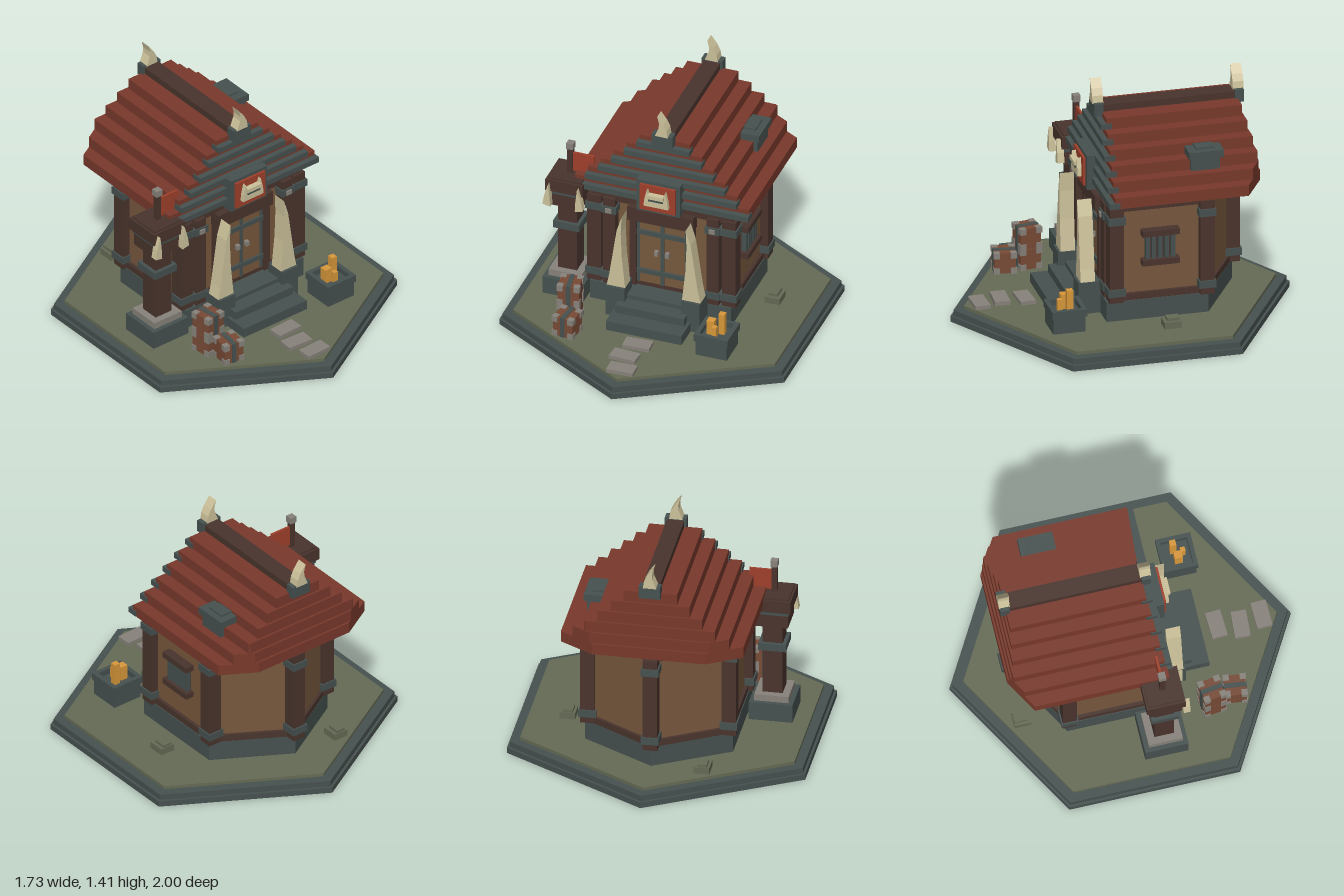
import * as THREE from 'three';

const colour = (name, color) => Object.assign(new THREE.MeshStandardMaterial({ color }), { name });
const slate = colour('slate', 0x46514f);
const moss = colour('moss', 0x656b55);
const roofRed = colour('roof red', 0x79392b);
const banner = colour('banner red', 0xa0402b);
const wood = colour('dark wood', 0x4a342d);
const plank = colour('plank', 0x77583d);
const bone = colour('bone', 0xcdc29b);
const stone = colour('grey stone', 0x87827a);
const gold = colour('gold', 0xd8983a);
const crateWood = colour('crate wood', 0x784b36);

function add(parent, name, geometry, material) {
  const mesh = new THREE.Mesh(geometry, material);
  mesh.name = name;
  parent.add(mesh);
  return mesh;
}

// Box given by its limits on each axis
function box(parent, name, material, x0, x1, y0, y1, z0, z1) {
  const g = new THREE.BoxGeometry(x1 - x0, y1 - y0, z1 - z0);
  g.translate((x0 + x1) / 2, (y0 + y1) / 2, (z0 + z1) / 2);
  return add(parent, name, g, material);
}

const shapeOf = (pts) => new THREE.Shape(pts.map(([x, y]) => new THREE.Vector2(x, y)));

// Upright prism over a plan of [x, z] points
function prism(parent, name, material, plan, y0, y1) {
  const g = new THREE.ExtrudeGeometry(shapeOf(plan.map(([x, z]) => [x, -z])), { depth: y1 - y0, bevelEnabled: false });
  g.rotateX(-Math.PI / 2).translate(0, y0, 0);
  return add(parent, name, g, material);
}

// Flat outline in [x, y] given a thickness along z
function slab(parent, name, material, pts, z0, z1) {
  const g = new THREE.ExtrudeGeometry(shapeOf(pts), { depth: z1 - z0, bevelEnabled: false });
  g.translate(0, 0, z0);
  return add(parent, name, g, material);
}

function group(parent, name, x = 0, y = 0, z = 0, turn = 0) {
  const g = new THREE.Group();
  g.name = name;
  g.position.set(x, y, z);
  g.rotation.y = turn;
  parent.add(g);
  return g;
}

function hexTier(parent, name, material, r, y0, y1) {
  const g = new THREE.CylinderGeometry(r, r, y1 - y0, 6).toNonIndexed();
  g.computeVertexNormals();
  g.translate(0, (y0 + y1) / 2, 0);
  add(parent, name, g, material);
}

// House plan: flat front, two sides, pointed back
const plan = (w, front, corner, back) => [[-w, front], [w, front], [w, corner], [0, back], [-w, corner]];

function buildHouse(root) {
  const house = group(root, 'house');
  prism(house, 'foundation', slate, plan(0.43, 0.19, -0.41, -0.66), 0.085, 0.21);
  prism(house, 'sill', wood, plan(0.425, 0.155, -0.41, -0.66), 0.21, 0.25);
  prism(house, 'walls', plank, plan(0.405, 0.13, -0.4, -0.64), 0.25, 0.77);
  prism(house, 'topBeam', wood, plan(0.43, 0.16, -0.41, -0.665), 0.765, 0.835);

  // Posts with two metal bands each
  const posts = [[0, -0.655, 0.042], ...[-1, 1].flatMap((s) => [
    [s * 0.41, 0.135, 0.042], [s * 0.315, 0.15, 0.036], [s * 0.41, -0.4, 0.042]])];
  for (const [x, z, h] of posts) {
    const post = group(house, 'post', x, 0, z);
    box(post, 'postShaft', wood, -h, h, 0.21, 0.79, -h, h);
    const b = h + 0.009;
    for (const y of [0.25, 0.695]) box(post, 'postBand', slate, -b, b, y, y + 0.045, -b, b);
  }
  for (const s of [-1, 1]) box(house, 'bandStud', stone, s * 0.315 - 0.018, s * 0.315 + 0.018, 0.703, 0.731, 0.19, 0.205);

  // Double door
  const door = group(house, 'door');
  for (const s of [-1, 1]) {
    box(door, 'doorLeaf', plank, Math.min(s * 0.008, s * 0.155), Math.max(s * 0.008, s * 0.155), 0.25, 0.69, 0.12, 0.155);
    box(door, 'doorJamb', wood, s * 0.175 - 0.02, s * 0.175 + 0.02, 0.23, 0.69, 0.12, 0.175);
    box(door, 'doorHandle', stone, s * 0.033 - 0.011, s * 0.033 + 0.011, 0.455, 0.485, 0.155, 0.18);
    box(door, 'doorUpright', slate, s * 0.145 - 0.008, s * 0.145 + 0.008, 0.25, 0.69, 0.155, 0.16);
  }
  box(door, 'doorSeam', slate, -0.01, 0.01, 0.25, 0.69, 0.13, 0.163);
  for (const y of [0.315, 0.58]) box(door, 'doorStrap', slate, -0.155, 0.155, y, y + 0.03, 0.15, 0.168);
  box(door, 'lintel', wood, -0.2, 0.2, 0.685, 0.775, 0.12, 0.2);

  // Barred window on one side wall
  const win = group(house, 'window');
  box(win, 'windowBack', wood, 0.4, 0.411, 0.455, 0.61, -0.21, -0.04);
  for (const y of [0.425, 0.605]) box(win, 'windowRail', wood, 0.39, 0.46, y, y + 0.035, -0.235, -0.015);
  for (let i = 0; i < 5; i++) {
    const z = -0.2 + i * 0.0375;
    box(win, 'windowBar', slate, 0.41, 0.44, 0.45, 0.615, z - 0.012, z + 0.012);
  }

  // Front steps
  box(house, 'landing', slate, -0.18, 0.18, 0.085, 0.225, 0.12, 0.28);
  box(house, 'upperStep', slate, -0.21, 0.21, 0.085, 0.2, 0.2, 0.37);
  box(house, 'lowerStep', slate, -0.23, 0.23, 0.085, 0.15, 0.3, 0.47);

  // Tall tusks beside the door
  for (const s of [-1, 1]) {
    box(house, 'tuskBase', slate, s * 0.229 - 0.057, s * 0.229 + 0.057, 0.085, 0.285, 0.19, 0.32);
    const pts = [[0.285, 0.285], [0.27, 0.36], [0.225, 0.67], [0.195, 0.765], [0.2, 0.65], [0.193, 0.48], [0.173, 0.285]];
    slab(house, 'doorTusk', bone, pts.map(([x, y]) => [x * s, y]), 0.22, 0.305);
  }
}

function buildRoof(root) {
  const roof = group(root, 'roof');
  // Stepped rows, with the back corners cut off
  for (let i = 0; i < 6; i++) {
    const w = 0.53 - i * 0.075, y = 0.83 + i * 0.067;
    const front = 0.165 - i * 0.009, back = -0.74 + i * 0.012;
    const cutX = Math.min(w, (0.93 + back) / 0.58), cutZ = Math.max(back, -0.93 + 0.58 * w);
    const rim = [[-w, front], [w, front], [w, cutZ]];
    if (cutX < w) rim.push([cutX, back], [-cutX, back]);
    rim.push([-w, cutZ]);
    prism(roof, 'roofRow', roofRed, rim, y, y + 0.067);
    box(roof, 'gableTrim', slate, -w - 0.006, w + 0.006, y + 0.003, y + 0.037, front - 0.03, front + 0.035);
  }
  box(roof, 'ridge', wood, -0.05, 0.05, 1.2, 1.273, -0.69, 0.13);
  for (const z of [0.14, -0.688]) {
    box(roof, 'ridgeCap', slate, -0.063, 0.063, 1.21, 1.285, z - 0.027, z + 0.027);
    slab(roof, 'ridgeHorn', bone, [[-0.042, 1.28], [0.037, 1.28], [0.03, 1.325], [0.01, 1.365], [-0.027, 1.415], [-0.016, 1.37], [-0.018, 1.34]], z - 0.032, z + 0.032);
  }
  // Roof vent
  box(roof, 'ventBody', slate, 0.31, 0.405, 0.96, 1.045, -0.485, -0.315);
  box(roof, 'ventCap', slate, 0.3, 0.42, 1.04, 1.083, -0.505, -0.3);
  box(roof, 'ventTop', slate, 0.3, 0.38, 1.08, 1.093, -0.46, -0.35);

  // Gable plaque with a bone mask
  const plaque = group(roof, 'plaque');
  box(plaque, 'plaqueFrame', slate, -0.132, 0.132, 0.79, 1.0, 0.15, 0.23);
  box(plaque, 'plaqueField', banner, -0.108, 0.108, 0.81, 0.98, 0.22, 0.245);
  slab(plaque, 'mask', bone, [[-0.075, 0.855], [0.075, 0.855], [0.07, 0.9], [0.055, 0.965], [0.047, 0.935], [-0.047, 0.935], [-0.055, 0.965], [-0.07, 0.9]], 0.24, 0.27);
  box(plaque, 'maskBrow', bone, -0.05, 0.05, 0.915, 0.94, 0.265, 0.285);
  box(plaque, 'maskSlot', slate, -0.045, 0.045, 0.895, 0.912, 0.268, 0.276);
}

function buildTower(root) {
  const tower = group(root, 'tower', -0.575, 0, 0.11);
  const tier = (name, m, h, y0, y1) => box(tower, name, m, -h, h, y0, y1, -h, h);
  tier('towerBase', slate, 0.127, 0.085, 0.2);
  tier('towerPlinth', stone, 0.1, 0.2, 0.24);
  tier('towerPost', wood, 0.058, 0.24, 0.7);
  tier('towerBand', slate, 0.08, 0.52, 0.565);
  tier('towerNeck', wood, 0.095, 0.685, 0.79);
  tier('towerTrim', slate, 0.1, 0.765, 0.79);
  tier('towerHead', wood, 0.114, 0.79, 0.865);
  tier('towerRoof', wood, 0.1, 0.865, 0.875);
  for (const s of [-1, 1]) {
    const pts = [[0.122, 0.71], [0.075, 0.7], [0.078, 0.76], [0.088, 0.85], [0.112, 0.77]];
    slab(tower, 'towerTusk', bone, pts.map(([x, y]) => [x * s, y]), 0.1, 0.14);
  }
  box(tower, 'flagPole', wood, -0.016, 0.016, 0.87, 1.04, -0.016, 0.016);
  box(tower, 'poleCap', stone, -0.021, 0.021, 1.035, 1.075, -0.021, 0.021);
  box(tower, 'flag', banner, 0.014, 0.145, 0.885, 1.01, -0.007, 0.007);
}

function buildCrate(root, x, y, z, turn) {
  const crate = group(root, 'crate', x, y, z, turn);
  const h = 0.062;
  box(crate, 'crateBody', crateWood, -h, h, 0, 2 * h, -h, h);
  box(crate, 'crateStrap', slate, -0.014, 0.014, -0.002, 2 * h + 0.004, -h - 0.004, h + 0.004);
  for (const cx of [-1, 1]) for (const cz of [-1, 1]) for (const cy of [0.015, 2 * h - 0.015]) {
    const a = cx * (h - 0.013), b = cz * (h - 0.013);
    box(crate, 'crateCorner', stone, a - 0.018, a + 0.018, cy - 0.018, cy + 0.018, b - 0.018, b + 0.018);
  }
}

function buildYard(root) {
  buildCrate(root, -0.46, 0.095, 0.43, 0.15);
  buildCrate(root, -0.46, 0.222, 0.43, 0.15);
  buildCrate(root, -0.425, 0.1, 0.575, -0.12);

  // Square brazier with glowing blocks
  const brazier = group(root, 'brazier', 0.433, 0, 0.435);
  box(brazier, 'brazierBody', slate, -0.095, 0.095, 0.085, 0.195, -0.095, 0.095);
  for (const s of [-1, 1]) {
    box(brazier, 'brazierRim', slate, -0.103, 0.103, 0.185, 0.23, s * 0.09 - 0.013, s * 0.09 + 0.013);
    box(brazier, 'brazierRim', slate, s * 0.09 - 0.013, s * 0.09 + 0.013, 0.185, 0.23, -0.08, 0.08);
  }
  for (const [x, z, h, top] of [[-0.033, 0, 0.023, 0.285], [0.027, -0.018, 0.018, 0.33], [0, 0.035, 0.014, 0.265]])
    box(brazier, 'ember', gold, x - h, x + h, 0.19, top, z - h, z + h);

  // Path slabs and mossy rocks
  for (const [x, z, turn] of [[0, 0.565, 0.05], [-0.03, 0.7, -0.06], [0, 0.83, 0.03]])
    box(group(root, 'path', x, 0, z, turn), 'pathSlab', stone, -0.08, 0.08, 0.085, 0.113, -0.045, 0.045);
  for (const [x, z] of [[0.57, -0.155], [-0.3, -0.65]]) {
    const rock = group(root, 'rock', x, 0, z);
    box(rock, 'rockBase', moss, -0.045, 0.045, 0.085, 0.13, -0.05, 0.05);
    box(rock, 'rockTop', moss, -0.03, 0.025, 0.13, 0.147, -0.045, 0.03);
  }
}

export function createModel() {
  const root = new THREE.Group();
  root.name = 'hut';
  hexTier(root, 'baseLower', slate, 1, 0, 0.035);
  hexTier(root, 'baseUpper', slate, 0.982, 0.035, 0.07);
  hexTier(root, 'ground', moss, 0.92, 0.065, 0.09);
  buildHouse(root);
  buildRoof(root);
  buildTower(root);
  buildYard(root);
  return root;
}
